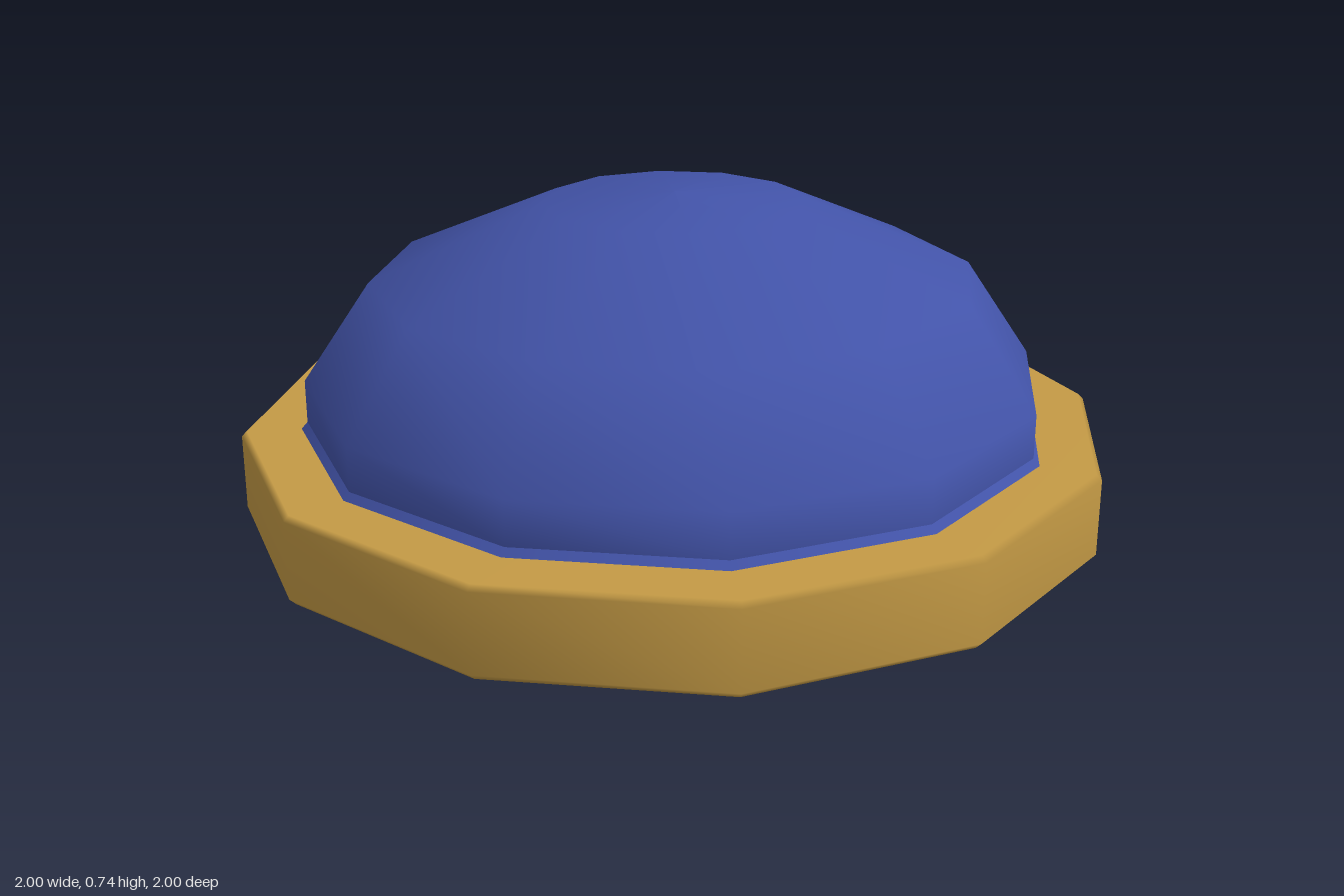
import * as THREE from 'three';

const SIDES = 12;

// Turned part from [radius, height] pairs, listed from bottom to top
function turned(name, color, profile) {
  const points = profile.map(([r, y]) => new THREE.Vector2(r, y));
  const mesh = new THREE.Mesh(
    new THREE.LatheGeometry(points, SIDES),
    new THREE.MeshStandardMaterial({ color })
  );
  mesh.name = name;
  return mesh;
}

export function createModel() {
  const group = new THREE.Group();
  group.name = 'domeButton';

  // Twelve-sided base plate with small bevels
  group.add(turned('base', 0xc49a45, [
    [0, 0], [0.985, 0], [1, 0.015], [1, 0.19], [0.988, 0.202], [0, 0.202],
  ]));

  // Dome with a flared foot; the repeated point keeps the crease sharp
  group.add(turned('dome', 0x4253a8, [
    [0.866, 0.2], [0.85, 0.218], [0.85, 0.218], [0.85, 0.318],
    [0.695, 0.545], [0.3, 0.715], [0, 0.735],
  ]));

  return group;
}
